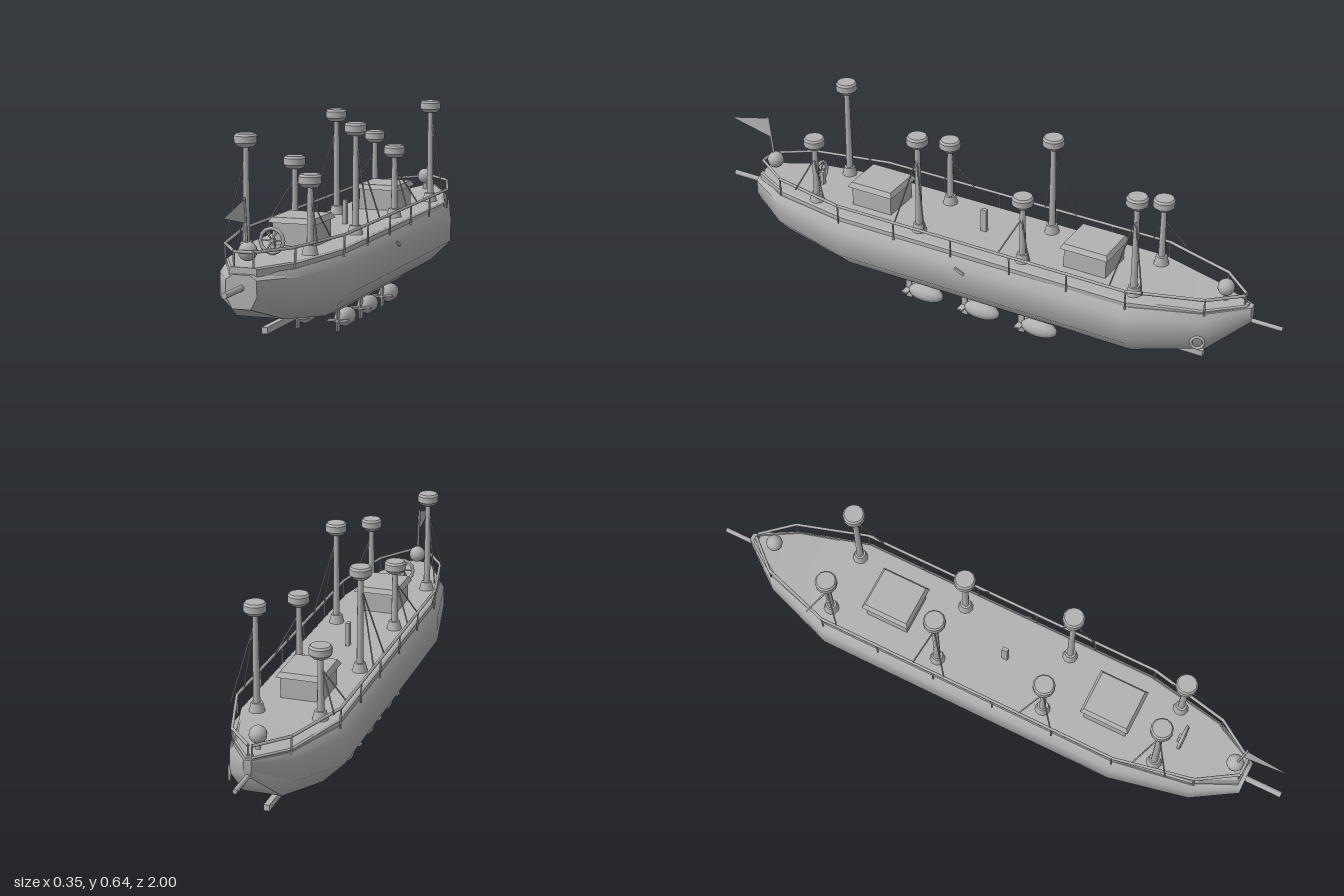
import * as THREE from 'three';
import { toCreasedNormals } from 'three/addons/utils/BufferGeometryUtils.js';

const grey = new THREE.MeshStandardMaterial({ color: 0xb2b2b2 });
grey.name = 'plain grey';
const greyThin = grey.clone();
greyThin.side = THREE.DoubleSide;

const V = (x, y, z) => new THREE.Vector3(x, y, z);

function add(parent, name, geometry, x = 0, y = 0, z = 0, material = grey) {
  const mesh = new THREE.Mesh(geometry, material);
  mesh.name = name;
  mesh.position.set(x, y, z);
  parent.add(mesh);
  return mesh;
}

function box(parent, name, w, h, d, x, y, z) {
  return add(parent, name, new THREE.BoxGeometry(w, h, d), x, y, z);
}

// Straight rod between two points
function rod(parent, name, a, b, r, sides = 6) {
  const mesh = add(parent, name, new THREE.CylinderGeometry(r, r, a.distanceTo(b), sides));
  mesh.position.copy(a).add(b).multiplyScalar(0.5);
  mesh.quaternion.setFromUnitVectors(V(0, 1, 0), b.clone().sub(a).normalize());
  return mesh;
}

// Skin over closed rings, each counter-clockwise from the front and listed front to back
function loft(rings, crease) {
  const n = rings[0].length;
  const index = [];
  for (let i = 0; i < rings.length - 1; i++) {
    for (let j = 0; j < n; j++) {
      const a = i * n + j, b = i * n + (j + 1) % n;
      index.push(a, a + n, b, b, a + n, b + n);
    }
  }
  const last = (rings.length - 1) * n;
  for (let j = 1; j < n - 1; j++) {
    index.push(0, j, j + 1, last, last + j + 1, last + j);
  }
  const g = new THREE.BufferGeometry();
  g.setAttribute('position', new THREE.Float32BufferAttribute(rings.flat(2), 3));
  g.setIndex(index);
  return toCreasedNormals(g, crease);
}

// Hull stations: z, half width, bottom, top
const STATIONS = [
  [0.88, 0.047, 0.177, 0.275],
  [0.74, 0.125, 0.128, 0.276],
  [0.48, 0.174, 0.09, 0.276],
  [-0.55, 0.174, 0.09, 0.276],
  [-0.78, 0.1, 0.145, 0.286],
  [-0.9, 0.012, 0.25, 0.303],
];

function hullRing([z, w, lo, hi], i) {
  const h = hi - lo;
  const topW = i === 0 ? 0.55 : 0.88;
  const half = [[w * 0.6, lo], [w, lo + h * 0.37], [w, hi - h * 0.15], [w * topW, hi]];
  const left = half.map(([x, y]) => [x, y, z]);
  const right = half.map(([x, y]) => [-x, y, z]).reverse();
  return [...left, ...right];
}

function deckRing([z, w, , hi]) {
  const x = w * 0.88, zz = z * 0.985, top = Math.max(0.294, hi + 0.004);
  return [[x, hi - 0.01, zz], [x, top - 0.004, zz], [x - 0.006, top, zz],
    [-x + 0.006, top, zz], [-x, top - 0.004, zz], [-x, hi - 0.01, zz]];
}

function addCabin(parent, z) {
  const cabin = new THREE.Group();
  cabin.name = 'cabin';
  box(cabin, 'cabinWalls', 0.132, 0.076, 0.145, 0, 0.326, z);
  const ring = (w, h, zz) => [[w, 0.362, zz], [h, 0.378, zz], [-h, 0.378, zz], [-w, 0.362, zz]];
  // Sloped roof: lower eaves wider than the top
  const roof = new THREE.BoxGeometry(0.154, 0.016, 0.166);
  const p = roof.attributes.position;
  for (let i = 0; i < p.count; i++) {
    if (p.getY(i) > 0) p.setXYZ(i, p.getX(i) * 0.88, p.getY(i), p.getZ(i) * 0.89);
  }
  roof.computeVertexNormals();
  add(cabin, 'cabinRoof', roof, 0, 0.37, z);
  parent.add(cabin);
}

function addMast(parent, side, z, tall) {
  const mast = new THREE.Group();
  mast.name = tall ? 'tallMast' : 'shortMast';
  const x = side * 0.1, top = tall ? 0.6 : 0.49;
  add(mast, 'mastFoot', new THREE.CylinderGeometry(0.018, 0.025, 0.03, 10), x * 0.99, 0.307, z);
  add(mast, 'mastPole', new THREE.CylinderGeometry(0.009, 0.012, top - 0.285, 8),
    x, (top + 0.295) / 2, z);
  const profile = [[0, 0], [0.024, 0], [0.035, 0.012], [0.035, 0.032], [0.03, 0.039], [0, 0.039]]
    .map(([r, y]) => new THREE.Vector2(r, y));
  add(mast, 'lookoutBasket', toCreasedNormals(new THREE.LatheGeometry(profile, 12), 0.6), x, top, z);
  // Pair of stays down to the rail
  for (const s of [-1, 1]) {
    rod(mast, 'stay', V(x + side * 0.006, top - 0.04, z), V(side * (z > 0.5 ? 0.142 : 0.16), 0.338, z + s * 0.055), 0.0025, 5);
  }
  parent.add(mast);
}

function addPod(parent, x, z) {
  const pod = new THREE.Group();
  pod.name = 'pod';
  const body = add(pod, 'podBody', new THREE.SphereGeometry(1, 10, 8), x, 0.034, z);
  body.geometry.rotateX(Math.PI / 2);
  body.geometry.scale(0.03, 0.03, 0.064);
  box(pod, 'podFinUpright', 0.005, 0.066, 0.022, x, 0.033, z + 0.064);
  box(pod, 'podFinFlat', 0.066, 0.005, 0.022, x, 0.033, z + 0.064);
  parent.add(pod);
}

export function createModel() {
  const ship = new THREE.Group();
  ship.name = 'airship';

  // Hull, deck and keel
  add(ship, 'hull', loft(STATIONS.map(hullRing), 0.9));
  add(ship, 'deck', loft(STATIONS.map(deckRing), 0.3));
  box(ship, 'keel', 0.018, 0.02, 1.46, 0, 0.083, -0.02);
  rod(ship, 'frontSpar', V(0, 0.237, 0.86), V(0, 0.237, 1), 0.01);
  rod(ship, 'rearSpar', V(0, 0.252, -0.85), V(0, 0.252, -1), 0.008);

  // Railing on both sides
  const railLine = [[0.03, 0.86], [0.108, 0.74], [0.162, 0.48], [0.162, 0.27], [0.162, 0.06],
    [0.162, -0.15], [0.162, -0.35], [0.162, -0.55], [0.09, -0.78], [0.006, -0.875]];
  for (const s of [-1, 1]) {
    railLine.forEach(([x, z], i) => {
      const p = V(s * x, 0.337, z);
      rod(ship, 'railPost', V(s * x * 0.99, 0.272, z), p, 0.003);
      if (i) rod(ship, 'rail', V(s * railLine[i - 1][0], 0.337, railLine[i - 1][1]), p, 0.005);
    });
  }
  rod(ship, 'frontRail', V(-0.03, 0.337, 0.86), V(0.03, 0.337, 0.86), 0.005);

  // Masts, tall and short alternating
  [0.6, 0.21, -0.165, -0.55].forEach((z, i) => {
    addMast(ship, 1, z, i % 2 === 1);
    addMast(ship, -1, z, i % 2 === 0);
  });

  // Deck fittings
  addCabin(ship, 0.41);
  addCabin(ship, -0.365);
  box(ship, 'deckPost', 0.012, 0.08, 0.02, 0, 0.332, 0.027);
  add(ship, 'frontLamp', new THREE.SphereGeometry(0.028, 12, 8), 0, 0.334, 0.83);
  add(ship, 'rearLamp', new THREE.SphereGeometry(0.027, 12, 8), 0, 0.344, -0.81);
  rod(ship, 'rearLampStem', V(0, 0.29, -0.81), V(0, 0.33, -0.81), 0.008);

  // Steering wheel
  add(ship, 'wheelRim', new THREE.TorusGeometry(0.036, 0.006, 6, 12), 0, 0.336, 0.65);
  for (let i = 0; i < 3; i++) {
    const spoke = box(ship, 'wheelSpoke', 0.07, 0.004, 0.004, 0, 0.336, 0.65);
    spoke.rotation.z = i * Math.PI / 3;
  }
  box(ship, 'wheelStand', 0.014, 0.05, 0.012, 0, 0.315, 0.642);

  // Flag on a leaning staff
  rod(ship, 'flagStaff', V(0, 0.34, 0.835), V(0, 0.49, 0.852), 0.004);
  const flag = new THREE.BufferGeometry().setFromPoints(
    [V(0, 0.485, 0.852), V(0, 0.415, 0.845), V(0, 0.45, 1)]);
  flag.computeVertexNormals();
  add(ship, 'flag', flag, 0, 0, 0, greyThin);

  // Pods slung under two beams
  for (const s of [-1, 1]) {
    box(ship, 'podBeam', 0.014, 0.022, 0.66, s * 0.066, 0.078, 0);
    for (const z of [0.21, 0, -0.21]) addPod(ship, s * 0.066, z);
  }

  // Left side fittings: mooring ring and small cleat
  const ring = add(ship, 'mooringRing', new THREE.TorusGeometry(0.02, 0.005, 6, 12), 0.105, 0.19, -0.77);
  ring.rotation.y = Math.PI / 2 + 0.35;
  const cleat = box(ship, 'cleat', 0.008, 0.01, 0.035, 0.174, 0.238, 0.02);
  cleat.rotation.x = -0.4;

  return ship;
}
